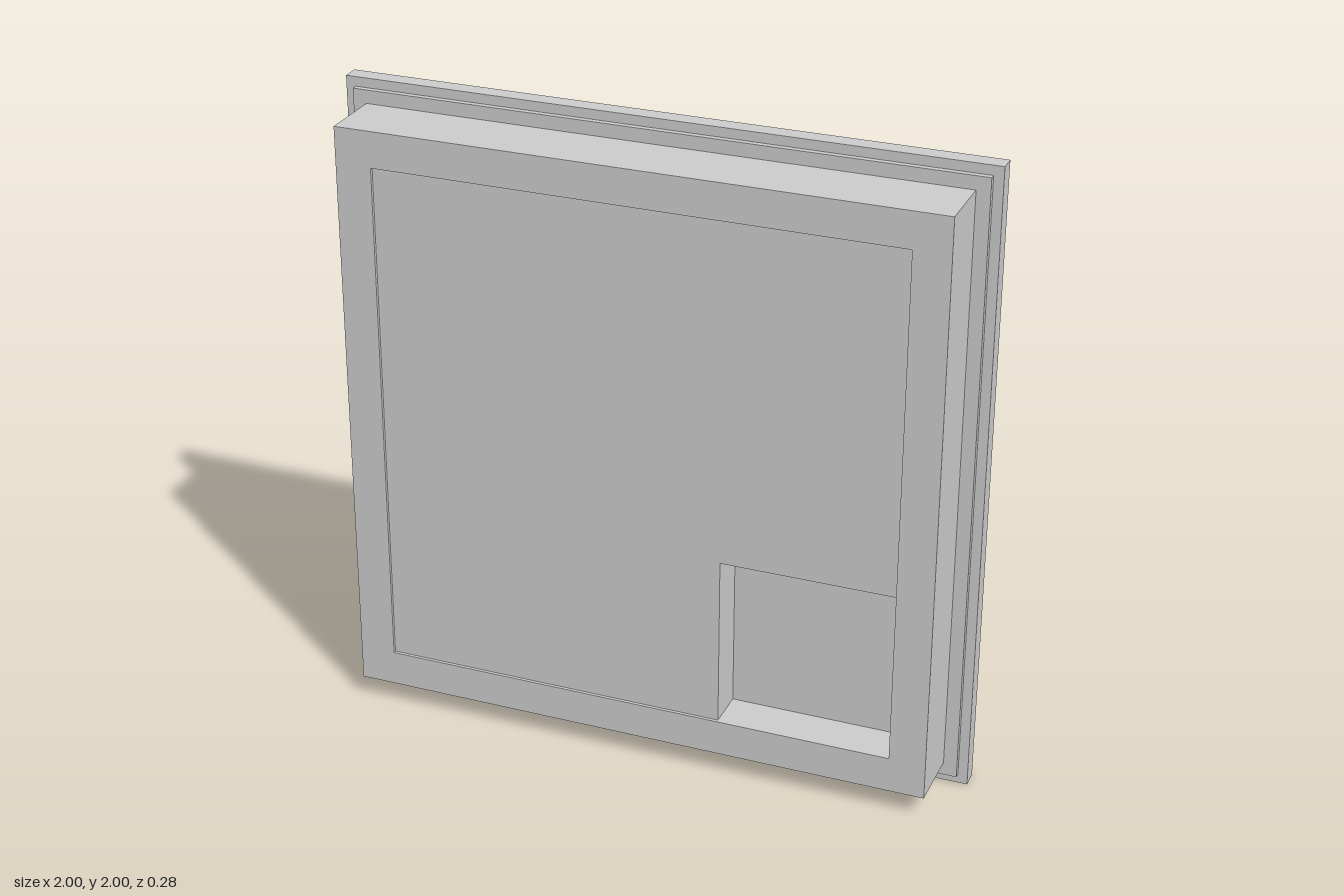
import * as THREE from 'three';

const material = new THREE.MeshStandardMaterial({ color: 0xcccccc });
const CENTRE_Y = 1;

// Closed outline from corner pairs, relative to the panel centre
const points = (corners) => corners.map(([x, y]) => new THREE.Vector2(x, y));
const square = (h) => points([[-h, -h], [h, -h], [h, h], [-h, h]]);

// Slab of the given outline between two depths, with an optional opening
function slab(name, outline, zBack, zFront, hole) {
  const shape = new THREE.Shape(outline);
  if (hole) shape.holes.push(new THREE.Path(hole));
  const geometry = new THREE.ExtrudeGeometry(shape, { depth: zFront - zBack, bevelEnabled: false });
  geometry.translate(0, CENTRE_Y, zBack);
  const mesh = new THREE.Mesh(geometry, material);
  mesh.name = name;
  return mesh;
}

export function createModel() {
  const model = new THREE.Group();
  model.name = 'wallPanel';

  const inner = 0.815;          // half width of the frame opening
  const cell = inner / 3;       // the pocket fills one cell of a 3 x 3 grid
  const pocketFloor = 0;

  // Stepped mounting plates behind the body
  model.add(slab('backPlate', square(1), -0.14, -0.085));
  model.add(slab('backStep', square(0.97), -0.085, -0.067));

  // Solid body, whose front is the floor of the pocket
  model.add(slab('bodyCore', square(0.928), -0.067, pocketFloor));

  // Raised border around the face
  model.add(slab('frame', square(0.928), pocketFloor, 0.14, square(inner)));

  // Slightly sunken face with the lower left cell cut away
  model.add(slab('facePanel', points([
    [-inner, -inner], [cell, -inner], [cell, -cell],
    [inner, -cell], [inner, inner], [-inner, inner],
  ]), pocketFloor, 0.13));

  return model;
}
